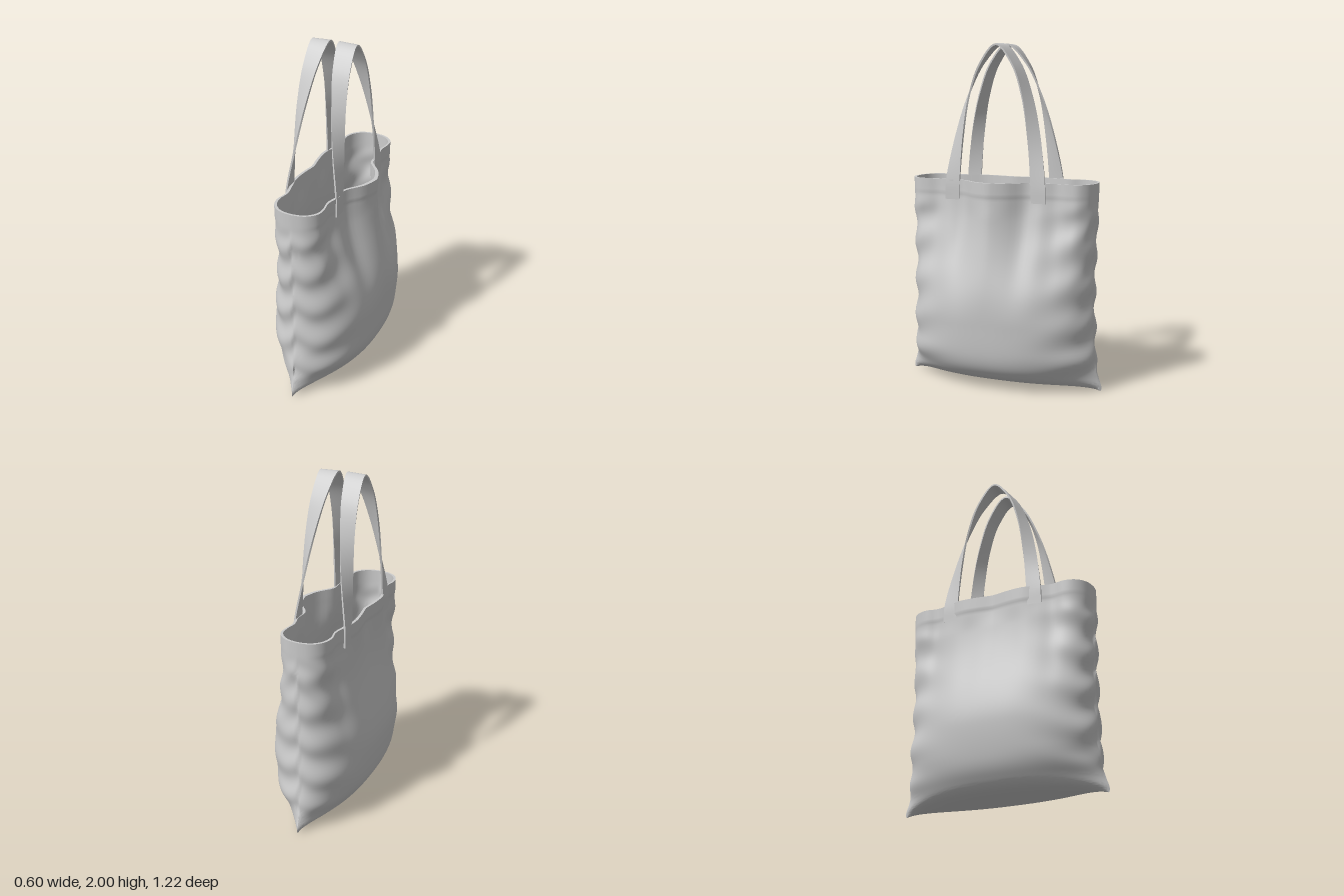
import * as THREE from 'three';
import { toCreasedNormals } from 'three/addons/utils/BufferGeometryUtils.js';

const { smoothstep, lerp } = THREE.MathUtils;
const material = new THREE.MeshStandardMaterial({ color: 0xcccccc, side: THREE.DoubleSide });
const CX = -0.03; // the bag leans slightly to one side

// Smooth function on 0..1 through evenly spaced values
function spline(values) {
  const curve = new THREE.SplineCurve(values.map((v, i) => new THREE.Vector2(i, v)));
  return (t) => curve.getPoint(t).y;
}

// Rows of points joined into a skin; closed loops wrap around
function skin(rows) {
  const n = rows[0].length;
  const index = [];
  for (let i = 0; i < rows.length - 1; i++) {
    for (let j = 0; j < n; j++) {
      const a = i * n + j, b = i * n + (j + 1) % n;
      index.push(a, a + n, b, b, a + n, b + n);
    }
  }
  const geometry = new THREE.BufferGeometry();
  geometry.setAttribute('position', new THREE.Float32BufferAttribute(rows.flat(2), 3));
  geometry.setIndex(index);
  geometry.computeVertexNormals();
  return geometry;
}

// Profile of the bag from the bottom seam to the rim
const height = spline([0.02, 0.025, 0.05, 0.1, 0.2, 0.4, 0.6, 0.8, 1.0, 1.12, 1.215]);
const bulgeLeft = spline([0, 0.08, 0.18, 0.255, 0.305, 0.325, 0.335, 0.315, 0.28, 0.262, 0.255]);
const bulgeRight = spline([0, 0.06, 0.15, 0.2, 0.245, 0.272, 0.265, 0.235, 0.195, 0.175, 0.165]);
const reach = spline([0.604, 0.61, 0.61, 0.59, 0.572, 0.561, 0.558, 0.562, 0.568, 0.57, 0.572]);

// Wavy opening: distance of the rim from the centre line, from mid-side to end
const rimLeft = spline([0.255, 0.22, 0.148, 0.148, 0.128, 0.138, 0.135, 0.105, 0.06, 0]);
const rimRight = spline([0.15, 0.165, 0.17, 0.15, 0.133, 0.145, 0.135, 0.105, 0.06, 0]);

// One horizontal loop of cloth at profile position s
function bagLoop(s, inner) {
  const y0 = height(s);
  const points = [];
  const count = 144;
  const opening = smoothstep(y0, 0.4, 1.18);
  const pinch = 0.5 + 0.45 * (1 - smoothstep(y0, 0, 0.25));
  const fold = smoothstep(y0, 0.05, 0.2) * (1 - smoothstep(y0, 1.0, 1.14));
  const hem = inner ? 0 : 0.004 * smoothstep(y0, 1.125, 1.14);
  for (let j = 0; j < count; j++) {
    const t = (j / count) * Math.PI * 2;
    const u = Math.sin(t), au = Math.min(1, Math.abs(u));
    const left = Math.cos(t) >= 0;
    const body = (left ? bulgeLeft : bulgeRight)(s) * Math.pow(Math.max(0, 1 - Math.pow(au, 2.4)), pinch);
    const rim = (left ? rimLeft : rimRight)(Math.asin(au) / (Math.PI / 2));
    let half = lerp(body, rim, opening) + hem * Math.abs(Math.cos(t));
    let z = reach(s) * u;
    // Creases running in from the side seams
    const phase = left ? 0 : 1.7;
    const side = Math.pow(au, 5) * Math.abs(Math.cos(t));
    half += fold * side * 0.045 * Math.sin(27 * y0 + 7 * z + phase);
    z += fold * Math.sign(u) * Math.pow(au, 8) * 0.008 * Math.sin(31 * y0 + 18 * half + phase);
    // Soft vertical drape in the middle of each panel
    half += 0.006 * fold * Math.cos(22 * z) * (1 - au * au) * smoothstep(y0, 0.4, 0.9);
    if (inner) { half *= 0.93; z *= 0.978; }
    const corner = 0.018 * Math.pow(au, 10) * (1 - smoothstep(y0, 0.02, 0.12));
    points.push([CX + (left ? half : -half), y0 - corner + (inner ? 0.012 * (1 - s) : 0), z]);
  }
  return points;
}

// Outer cloth up to the rim, then the lining back down to the floor
function bagGeometry() {
  const rows = [];
  const steps = 100;
  for (let i = 0; i <= steps; i++) rows.push(bagLoop(i / steps, false));
  for (let i = steps; i >= 0; i--) rows.push(bagLoop(i / steps, true));
  return toCreasedNormals(skin(rows), 1.0);
}

// Half an edge path mirrored over z = 0 into a full arch
function arch(half) {
  const points = half.map((p) => new THREE.Vector3(...p));
  const back = points.slice(0, -1).reverse().map((p) => new THREE.Vector3(p.x, p.y, -p.z));
  return new THREE.CatmullRomCurve3([...points, ...back]);
}

// Twisting ribbon between an outer and an inner edge, with thickness
function strapGeometry(base, crownOuter, crownInner) {
  const x = (k, crown) => lerp(base, crown, k);
  const outer = arch([
    [base, 1.1, 0.312], [base, 1.2, 0.31], [x(0.35, crownOuter), 1.48, 0.262],
    [x(0.62, crownOuter), 1.7, 0.2], [x(0.86, crownOuter), 1.89, 0.112], [crownOuter, 1.995, 0],
  ]);
  const inner = arch([
    [base, 1.1, 0.226], [base, 1.2, 0.222], [x(0.2, crownInner), 1.48, 0.198],
    [x(0.5, crownInner), 1.7, 0.163], [x(0.8, crownInner), 1.88, 0.1], [crownInner, 1.992, 0],
  ]);
  const rows = [];
  const steps = 80;
  for (let i = 0; i <= steps; i++) {
    const t = i / steps;
    const a = outer.getPoint(t), b = inner.getPoint(t);
    const normal = b.clone().sub(a).cross(outer.getTangent(t)).normalize().multiplyScalar(0.005);
    rows.push([
      a.clone().add(normal), b.clone().add(normal),
      b.clone().sub(normal), a.clone().sub(normal),
    ].map((p) => p.toArray()));
  }
  return toCreasedNormals(skin(rows), 0.8);
}

export function createModel() {
  const group = new THREE.Group();
  group.name = 'toteBag';
  const add = (name, geometry) => {
    const mesh = new THREE.Mesh(geometry, material);
    mesh.name = name;
    group.add(mesh);
  };
  add('bagBody', bagGeometry());
  add('leftStrap', strapGeometry(0.117, -0.01, 0.1));
  add('rightStrap', strapGeometry(-0.19, -0.062, -0.17));
  return group;
}
